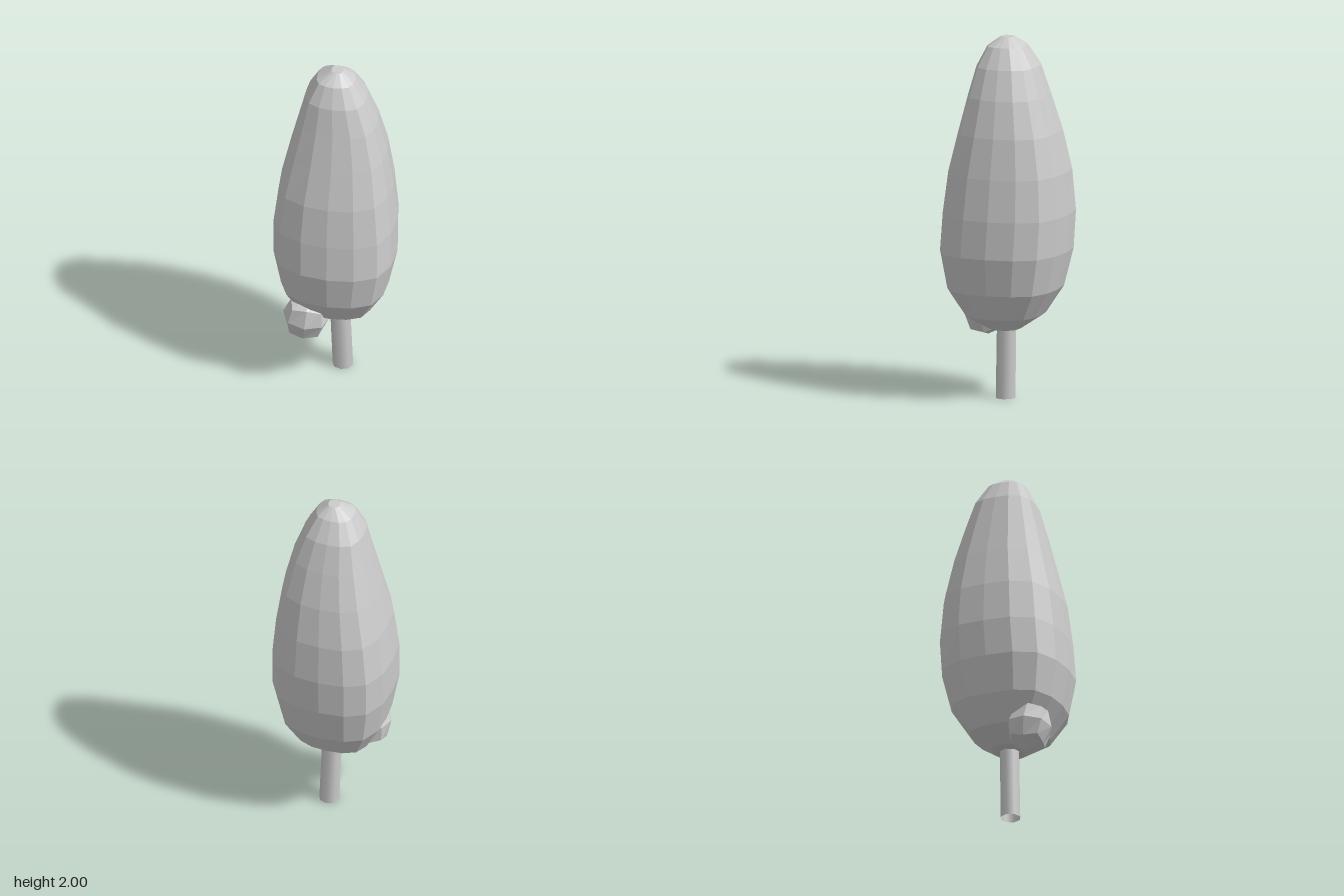
import * as THREE from 'three';

const material = new THREE.MeshStandardMaterial({ color: 0xcccccc, flatShading: true });

// Rounded-square outline of the crown, counter-clockwise seen from above (x, z at -1..1)
const outline = [
  [1, 0], [0.92, -0.44], [0.73, -0.78], [0.37, -0.95], [-0.05, -1], [-0.47, -0.97], [-0.8, -0.81], [-0.97, -0.46],
  [-1, -0.02], [-0.96, 0.42], [-0.78, 0.78], [-0.41, 0.95], [0.03, 1], [0.47, 0.95], [0.82, 0.78], [0.98, 0.42],
];

// Crown levels: y, x min, x max, z min, z max
const levels = [
  [0.385, -0.1, 0.11, -0.08, 0.08],
  [0.46, -0.215, 0.205, -0.19, 0.22],
  [0.61, -0.295, 0.29, -0.285, 0.315],
  [0.82, -0.335, 0.335, -0.335, 0.35],
  [1.03, -0.338, 0.333, -0.347, 0.335],
  [1.26, -0.31, 0.31, -0.33, 0.305],
  [1.48, -0.26, 0.275, -0.285, 0.25],
  [1.68, -0.21, 0.225, -0.225, 0.2],
  [1.84, -0.17, 0.165, -0.17, 0.16],
  [1.95, -0.11, 0.1, -0.1, 0.105],
  [2.0, -0.03, 0.035, -0.035, 0.035],
];

// Stack the outline into rings and close both ends with fans
function crownGeometry() {
  const n = outline.length, positions = [], index = [];
  for (const [y, x0, x1, z0, z1] of levels) {
    for (const [u, v] of outline) {
      positions.push((x0 + x1) / 2 + u * (x1 - x0) / 2, y, (z0 + z1) / 2 + v * (z1 - z0) / 2);
    }
  }
  const last = levels.length - 1, bottom = n * levels.length, top = bottom + 1;
  positions.push(0, levels[0][0], 0, 0, levels[last][0], 0);
  for (let j = 0; j < n; j++) {
    const k = (j + 1) % n;
    for (let i = 0; i < last; i++) {
      const a = i * n + j, b = i * n + k, c = b + n, d = a + n;
      index.push(a, b, c, a, c, d);
    }
    index.push(bottom, k, j, top, last * n + j, last * n + k);
  }
  const g = new THREE.BufferGeometry();
  g.setAttribute('position', new THREE.Float32BufferAttribute(positions, 3));
  g.setIndex(index);
  g.computeVertexNormals();
  return g;
}

// Box with two segments per side, rounded towards a ball
function tuftGeometry() {
  const g = new THREE.BoxGeometry(2, 2, 2, 2, 2, 2);
  const p = g.attributes.position, v = new THREE.Vector3();
  for (let i = 0; i < p.count; i++) {
    v.fromBufferAttribute(p, i);
    const bulge = 1 + 0.06 * (v.lengthSq() - 1) / 2;
    v.normalize().multiplyScalar(bulge);
    p.setXYZ(i, v.x, v.y, v.z);
  }
  g.computeVertexNormals();
  return g;
}

export function createModel() {
  const tree = new THREE.Group();
  tree.name = 'tree';

  const crown = new THREE.Mesh(crownGeometry(), material);
  crown.name = 'crown';
  tree.add(crown);

  // Small side tuft beside the trunk
  const tuft = new THREE.Mesh(tuftGeometry(), material);
  tuft.name = 'sideTuft';
  tuft.scale.set(0.128, 0.138, 0.125);
  tuft.position.set(-0.135, 0.442, 0.178);
  tuft.rotation.set(0.1, 0.1, -0.12);
  tree.add(tuft);

  // Slightly leaning open trunk
  const trunkGeometry = new THREE.CylinderGeometry(0.056, 0.057, 0.5, 8, 1, true);
  trunkGeometry.translate(0, 0.25, 0);
  const p = trunkGeometry.attributes.position;
  for (let i = 0; i < p.count; i++) p.setX(i, p.getX(i) + 0.031 - 0.04 * p.getY(i));
  const trunk = new THREE.Mesh(trunkGeometry,
    new THREE.MeshStandardMaterial({ color: 0xcccccc, side: THREE.DoubleSide }));
  trunk.name = 'trunk';
  tree.add(trunk);

  return tree;
}
